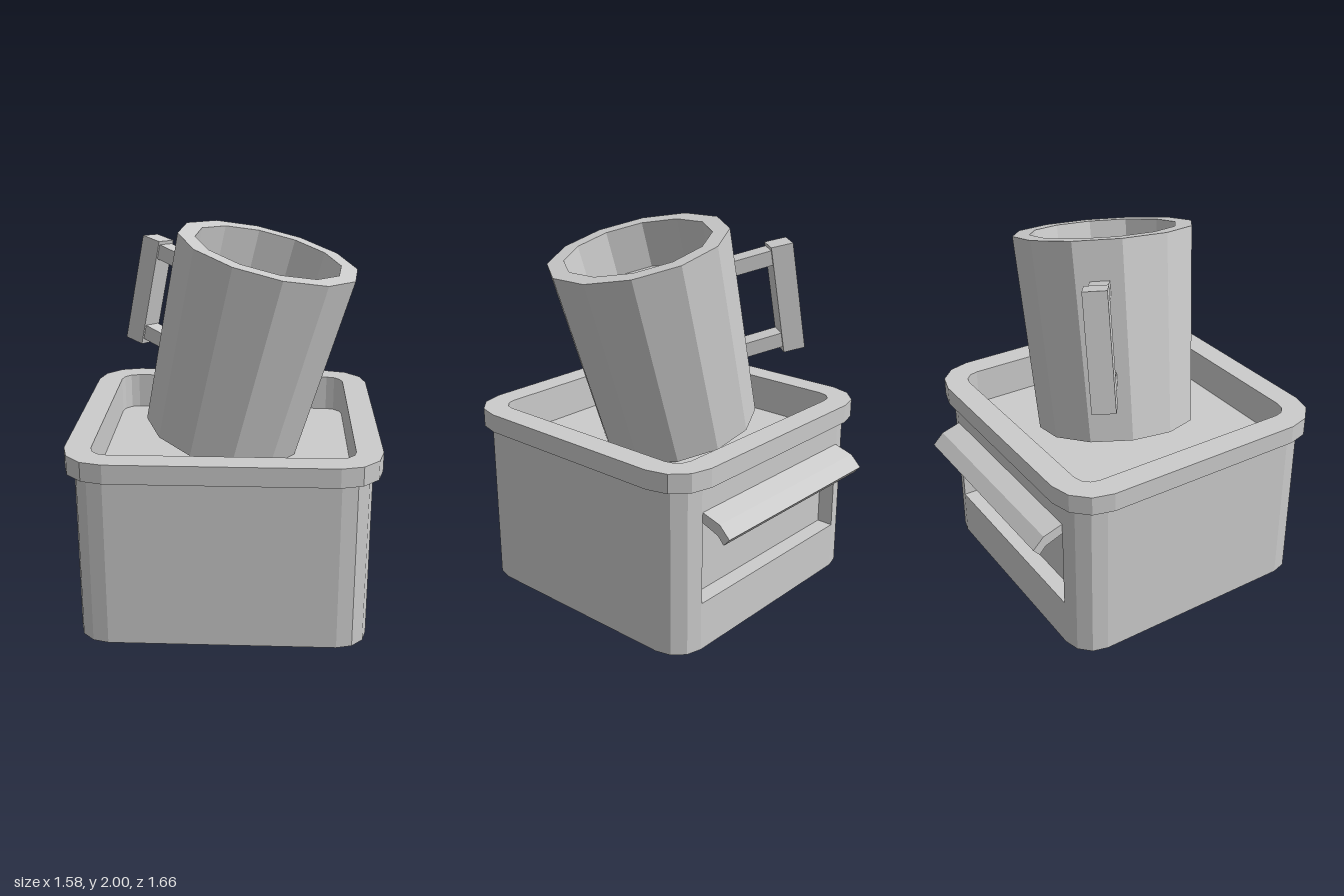
import * as THREE from 'three';

const material = new THREE.MeshStandardMaterial({ color: 0xcccccc, flatShading: true });

function addMesh(parent, name, geometry) {
  const mesh = new THREE.Mesh(geometry, material);
  mesh.name = name;
  parent.add(mesh);
  return mesh;
}

// Rounded rectangle outline; shape y is the model's -z. A notch may be cut in the back edge.
function outline(width, depth, zCentre, radius, notch) {
  const points = [];
  [[1, 1], [-1, 1], [-1, -1], [1, -1]].forEach(([sx, sy], corner) => {
    for (let i = 0; i <= 3; i++) {
      const a = (corner + i / 3) * Math.PI / 2;
      points.push(new THREE.Vector2(
        sx * (width / 2 - radius) + radius * Math.cos(a),
        sy * (depth / 2 - radius) + radius * Math.sin(a) - zCentre));
    }
    if (corner === 0 && notch) {
      const back = depth / 2 - zCentre;
      for (const [x, inset] of [[1, 0], [1, 1], [-1, 1], [-1, 0]]) {
        points.push(new THREE.Vector2(x * notch.half, back - inset * notch.depth));
      }
    }
  });
  return points;
}

// Upright slab between two heights, with an optional hole
function slab(points, y0, y1, hole) {
  const shape = new THREE.Shape(points);
  if (hole) shape.holes.push(new THREE.Path(hole));
  return new THREE.ExtrudeGeometry(shape, { depth: y1 - y0, bevelEnabled: false })
    .rotateX(-Math.PI / 2).translate(0, y0, 0);
}

export function createModel() {
  const model = new THREE.Group();
  model.name = 'mugOnBox';

  // Box: solid foot, layer with the back slot, layer under the tray, tray walls, rim
  const box = new THREE.Group();
  box.name = 'box';
  model.add(box);
  const body = outline(1.48, 1.455, 0.0575, 0.16);
  const slotted = outline(1.48, 1.455, 0.0575, 0.16, { half: 0.575, depth: 0.09 });
  const opening = outline(1.31, 1.29, 0.055, 0.09);
  addMesh(box, 'boxBase', slab(body, 0, 0.26));
  addMesh(box, 'boxSlotLayer', slab(slotted, 0.26, 0.7));
  addMesh(box, 'trayFloor', slab(body, 0.7, 0.8));
  addMesh(box, 'trayWall', slab(body, 0.8, 0.9, opening));
  addMesh(box, 'rim', slab(outline(1.58, 1.55, 0.055, 0.22), 0.9, 1, opening));

  // Bent flap over the slot: section in (-z, y), swept along x
  const flapShape = new THREE.Shape([
    [0.66, 0.705], [0.765, 0.665], [0.8, 0.625], [0.835, 0.665], [0.775, 0.725], [0.66, 0.76],
  ].map(([x, y]) => new THREE.Vector2(x, y)));
  const flap = new THREE.ExtrudeGeometry(flapShape, { depth: 1.15, bevelEnabled: false });
  addMesh(box, 'slotFlap', flap.translate(0, 0, -0.575).rotateY(Math.PI / 2));

  // Mug: leaning, twelve-sided, flaring towards the top
  const base = new THREE.Vector3(-0.03, 0.873, 0.005);
  const top = new THREE.Vector3(0.213, 1.885, 0.08);
  const axis = top.clone().sub(base);
  const height = axis.length();
  const mug = new THREE.Group();
  mug.name = 'mug';
  mug.position.copy(base);
  mug.quaternion.setFromUnitVectors(new THREE.Vector3(0, 1, 0), axis.normalize());
  model.add(mug);
  const profile = [
    [0, 0], [0.425, 0], [0.48, height], [0.39, height], [0.378, height - 0.25], [0, height - 0.25],
  ].map(([r, y]) => new THREE.Vector2(r, y));
  addMesh(mug, 'mugBody', new THREE.LatheGeometry(profile, 12, THREE.MathUtils.degToRad(9)));

  // Mug handle: an upright grip and two arms
  const handle = new THREE.Group();
  handle.name = 'mugHandle';
  handle.rotation.y = THREE.MathUtils.degToRad(144);
  mug.add(handle);
  const grip = addMesh(handle, 'handleGrip', new THREE.BoxGeometry(0.12, 0.6, 0.12));
  grip.position.set(0.717, 0.556, 0);
  grip.rotation.z = -0.055;
  for (const [name, y] of [['upperArm', 0.8], ['lowerArm', 0.33]]) {
    const arm = addMesh(handle, name, new THREE.BoxGeometry(0.28, 0.08, 0.1));
    arm.position.set(0.55, y, 0);
  }
  return model;
}
